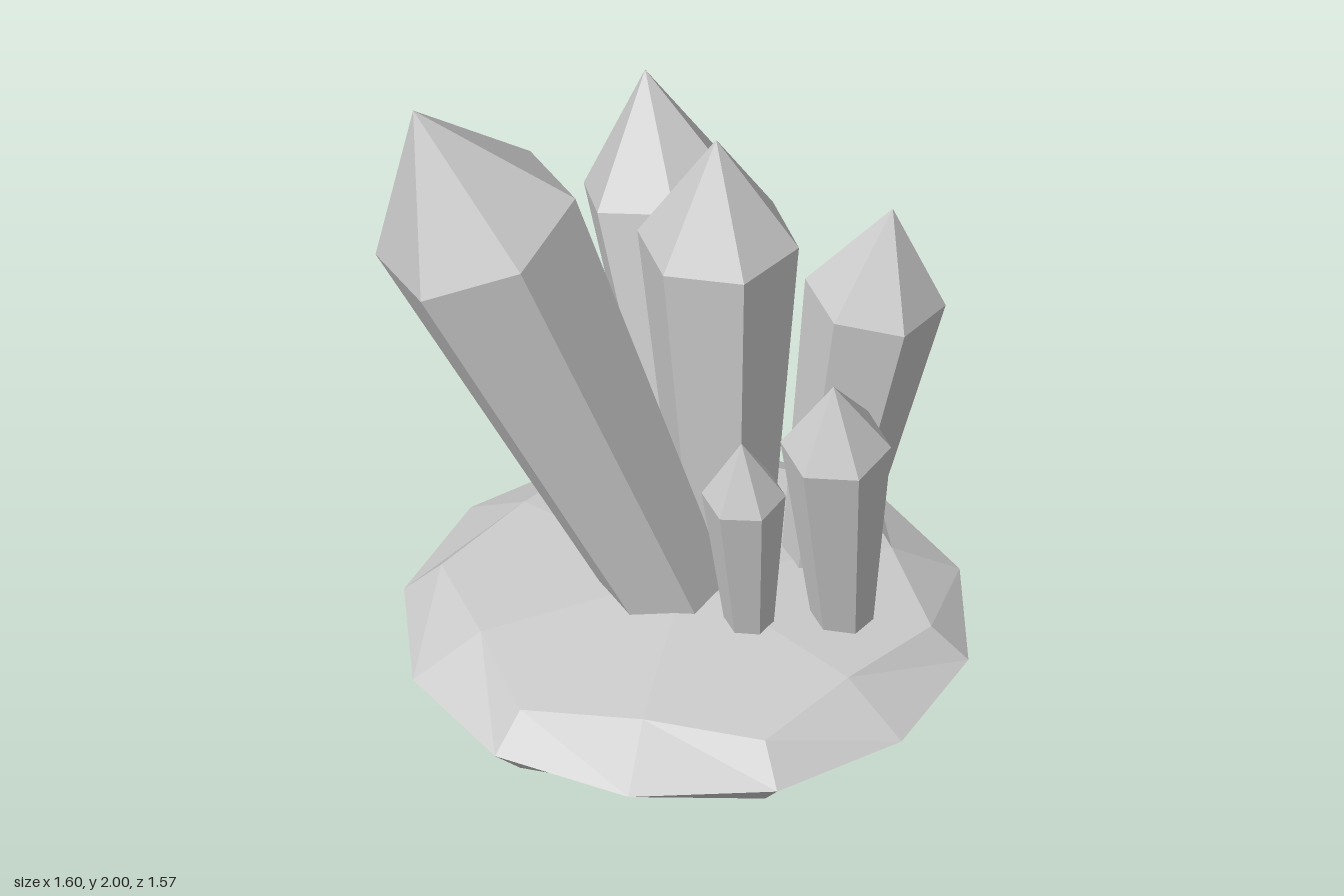
import * as THREE from 'three';

const material = new THREE.MeshStandardMaterial({ color: 0xcccccc, flatShading: true });
const lathe = (points, sides) =>
  new THREE.LatheGeometry(points.map(([r, y]) => new THREE.Vector2(r, y)), sides);

// Flattened twelve-sided stone; every other vertex of its upper and lower rings is wider.
function createRock() {
  const profile = [[0, 0], [0.59, 0.055], [0.785, 0.175], [0.59, 0.295], [0, 0.35]];
  const geometry = lathe(profile, 12);
  const pos = geometry.attributes.position;
  for (let side = 0; side <= 12; side += 2) {
    for (const [row, y] of [[1, 0.075], [3, 0.275]]) {
      const i = side * profile.length + row;
      pos.setXYZ(i, pos.getX(i) * 1.155, y, pos.getZ(i) * 1.155);
    }
  }
  geometry.computeVertexNormals();
  const rock = new THREE.Mesh(geometry, material);
  rock.name = 'rockBase';
  rock.position.set(0.02, 0, 0);
  return rock;
}

// Six-sided shaft that widens from foot to shoulder, closed by a pointed tip.
function createCrystal({ name, foot, shoulder, radius, tip, turn }) {
  const start = new THREE.Vector3(...foot);
  const axis = new THREE.Vector3(...shoulder).sub(start);
  const length = axis.length();
  const geometry = lathe([[0, 0], [radius * 0.54, 0], [radius, length], [0, length + tip]], 6);
  geometry.rotateY(THREE.MathUtils.degToRad(30 - turn));
  const crystal = new THREE.Mesh(geometry, material);
  crystal.name = name;
  crystal.position.copy(start);
  crystal.quaternion.setFromUnitVectors(new THREE.Vector3(0, 1, 0), axis.normalize());
  return crystal;
}

const crystals = [
  { name: 'largeLeaningCrystal', foot: [-0.01, 0.27, 0], shoulder: [-0.543, 1.59, -0.127], radius: 0.295, tip: 0.445, turn: 22 },
  { name: 'backCrystal', foot: [0.155, 0.27, -0.185], shoulder: [0.11, 1.31, -0.487], radius: 0.227, tip: 0.344, turn: -22 },
  { name: 'centreCrystal', foot: [0.145, 0.27, -0.045], shoulder: [0.138, 1.415, -0.08], radius: 0.225, tip: 0.335, turn: 30 },
  { name: 'sideCrystal', foot: [0.413, 0.27, -0.034], shoulder: [0.548, 1.225, 0.046], radius: 0.195, tip: 0.299, turn: 24 },
  { name: 'frontCrystal', foot: [0.388, 0.26, 0.243], shoulder: [0.337, 0.965, 0.338], radius: 0.152, tip: 0.228, turn: 24 },
  { name: 'smallCrystal', foot: [0.133, 0.26, 0.208], shoulder: [0.094, 0.805, 0.273], radius: 0.115, tip: 0.197, turn: 23 },
];

export function createModel() {
  const model = new THREE.Group();
  model.name = 'crystalCluster';
  model.add(createRock(), ...crystals.map(createCrystal));
  return model;
}
